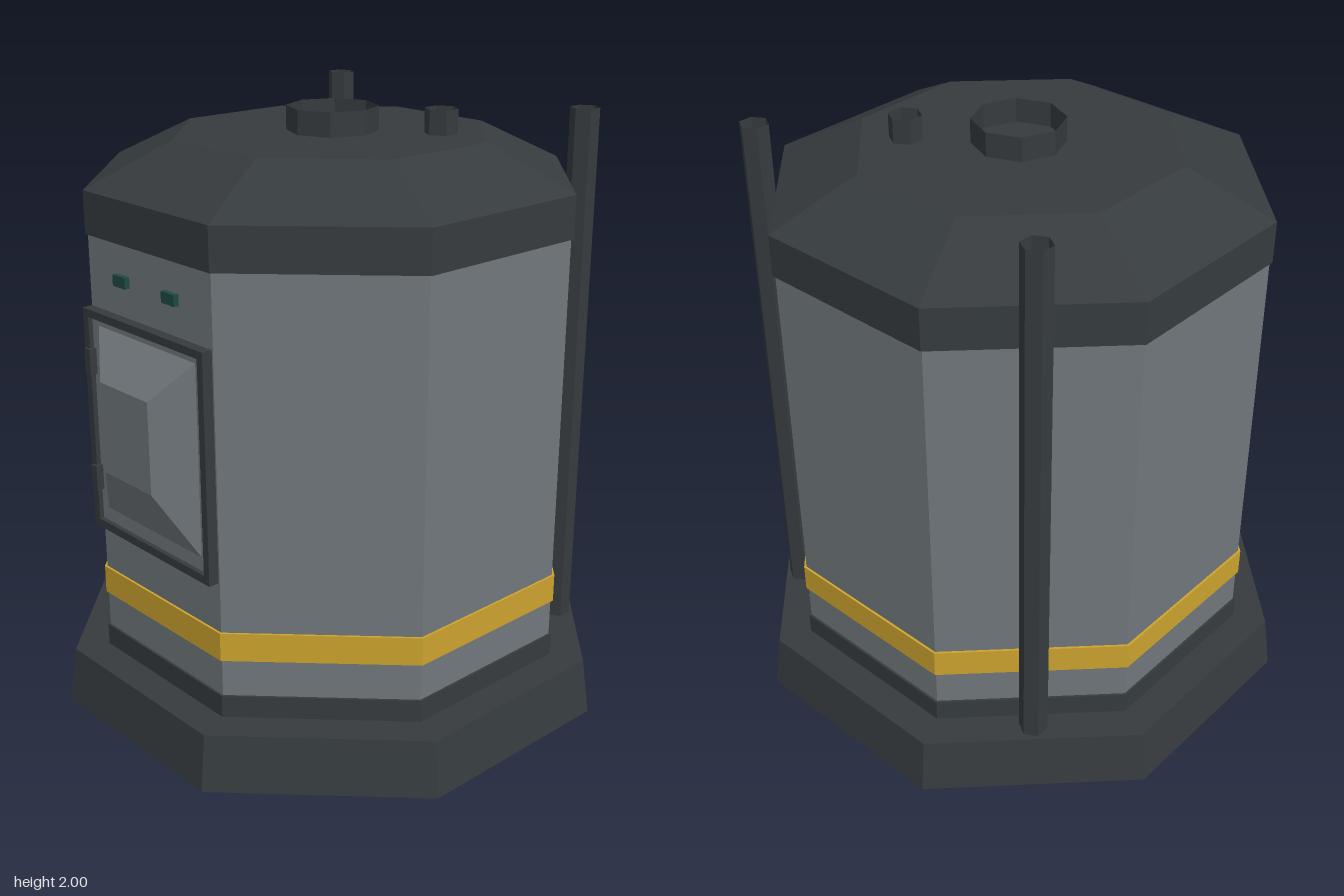
import * as THREE from 'three';

const material = (color, side = THREE.FrontSide) =>
  new THREE.MeshStandardMaterial({ color, flatShading: true, side });

export function createModel() {
  const group = new THREE.Group();
  const grey = material(0x70777b);
  const dark = material(0x363b3e);
  const darkOpen = material(0x363b3e, THREE.DoubleSide);
  const yellow = material(0xcca32e);
  const teal = material(0x1f4a45);

  const add = (name, geometry, mat, x = 0, y = 0, z = 0) => {
    const mesh = new THREE.Mesh(geometry, mat);
    mesh.name = name;
    mesh.position.set(x, y, z);
    group.add(mesh);
    return mesh;
  };

  // Octagonal section with a flat side facing front; sizes are centre-to-flat
  const octagon = (name, bottom, top, y0, y1, mat) => {
    const k = 1 / Math.cos(Math.PI / 8);
    const geometry = new THREE.CylinderGeometry(top * k, bottom * k, y1 - y0, 8);
    geometry.rotateY(Math.PI / 8);
    add(name, geometry, mat, 0, (y0 + y1) / 2, 0);
  };

  // Box given by its limits
  const box = (name, x0, x1, y0, y1, z0, z1, mat) =>
    add(name, new THREE.BoxGeometry(x1 - x0, y1 - y0, z1 - z0), mat,
      (x0 + x1) / 2, (y0 + y1) / 2, (z0 + z1) / 2);

  // Open thin-walled tube standing upright
  const tube = (name, radius, sides, x, z, y0, y1) =>
    add(name, new THREE.CylinderGeometry(radius, radius, y1 - y0, sides, 1, true),
      darkOpen, x, (y0 + y1) / 2, z);

  // Tank shell
  octagon('base', 0.893, 0.868, 0, 0.19, dark);
  octagon('lowerBand', 0.76, 0.76, 0.19, 0.265, dark);
  octagon('body', 0.752, 0.752, 0.19, 1.7, grey);
  octagon('stripe', 0.76, 0.76, 0.392, 0.488, yellow);
  octagon('lidRim', 0.76, 0.76, 1.643, 1.782, dark);
  octagon('lidRoof', 0.76, 0.492, 1.782, 1.92, dark);

  // Roof openings and rear pipes
  tube('chimney', 0.15, 8, 0, 0, 1.9, 2);
  tube('vent', 0.055, 6, 0.28, -0.215, 1.9, 2);
  for (const side of [-1, 1]) {
    tube(side < 0 ? 'rightPipe' : 'leftPipe', 0.048, 6, side * 0.575, -0.57, 0.19, 2);
  }

  // Door frame
  const rect = (path, x0, x1, y0, y1) => {
    path.moveTo(x0, y0);
    path.lineTo(x1, y0);
    path.lineTo(x1, y1);
    path.lineTo(x0, y1);
    path.closePath();
    return path;
  };
  const frame = rect(new THREE.Shape(), -0.31, 0.306, 0.657, 1.411);
  frame.holes.push(rect(new THREE.Path(), -0.283, 0.28, 0.685, 1.385));
  add('doorFrame', new THREE.ExtrudeGeometry(frame, { depth: 0.045, bevelEnabled: false }),
    dark, 0, 0, 0.743);

  // Door panel with its raised, tapered centre
  box('doorPanel', -0.285, 0.282, 0.683, 1.387, 0.74, 0.772, grey);
  const bulge = new THREE.BoxGeometry(1, 1, 1);
  const p = bulge.attributes.position;
  for (let i = 0; i < p.count; i++) {
    const outer = p.getZ(i) > 0;
    const [x0, x1, y0, y1, z] = outer
      ? [-0.1, 0.145, 0.935, 1.235, 0.875]
      : [-0.25, 0.252, 0.73, 1.362, 0.771];
    p.setXYZ(i, p.getX(i) < 0 ? x0 : x1, p.getY(i) < 0 ? y0 : y1, z);
  }
  bulge.computeVertexNormals();
  add('doorBulge', bulge, grey);

  // Hinges and indicator lights
  for (const y of [0.835, 1.237]) {
    box('hinge', -0.3, -0.271, y - 0.043, y + 0.043, 0.76, 0.798, dark);
  }
  for (const x of [-0.128, 0.122]) {
    box('indicatorLight', x - 0.032, x + 0.032, 1.51, 1.546, 0.74, 0.77, teal);
  }

  return group;
}
